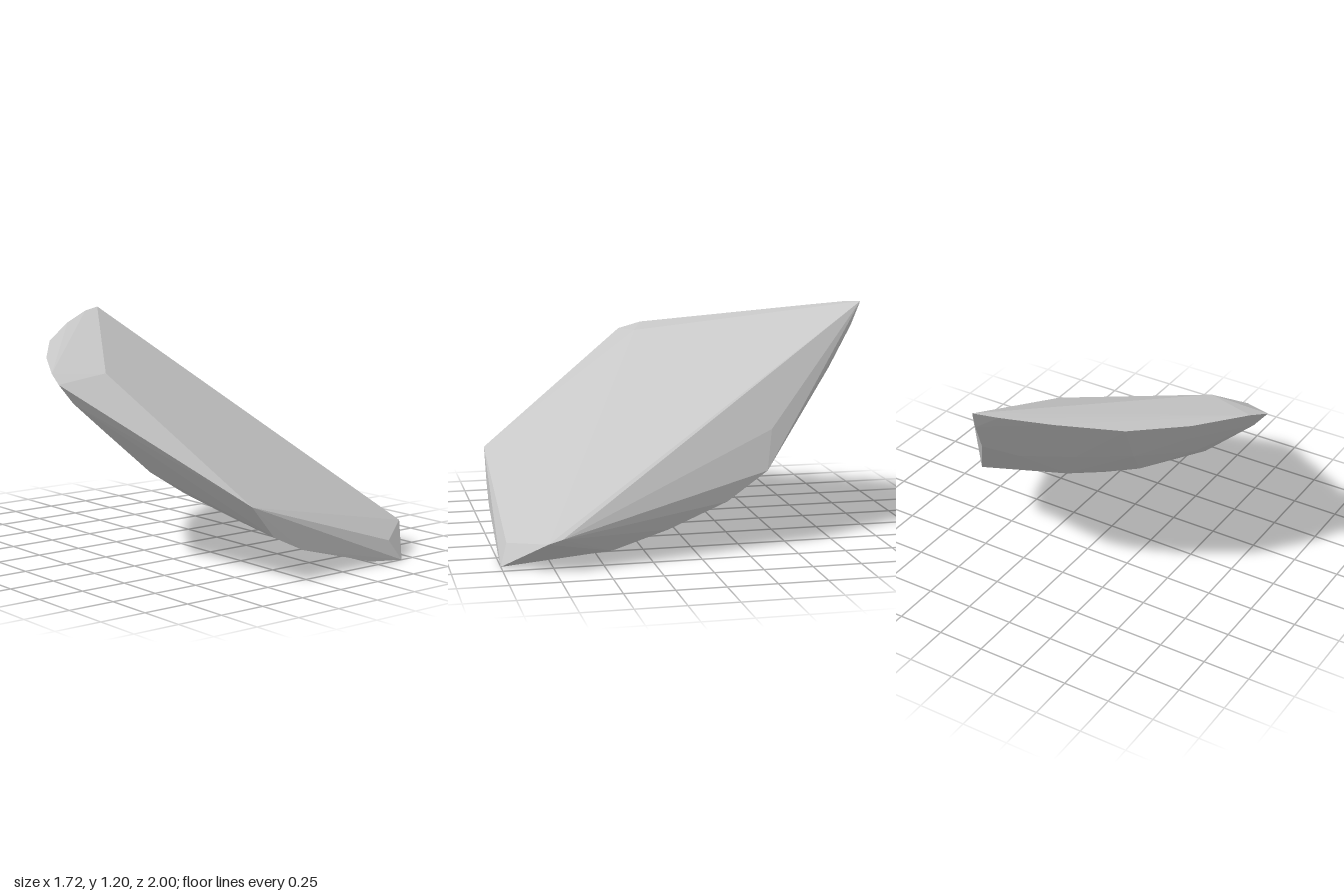
import * as THREE from 'three';
import { ConvexGeometry } from 'three/addons/geometries/ConvexGeometry.js';

const V = (p) => new THREE.Vector3(...p);

// Corners of the flat fracture planes on the upper side
const fracture = [
  [0.17, 1.2, -1], [-0.55, 0.98, 0.08], [-0.32, 0.4, 0.96],
  [0.86, 0.15, 0.79], [0.86, 0.17, 0.72], [0.61, 0.105, 0.963], [0.67, 0, 1],
  [0.52, 0.6, -0.42],
];

// Rim where the fracture planes meet the rounded underside
const rim = [
  [-0.86, 0.95, 0.11], [-0.82, 0.99, -0.01], [-0.65, 1.03, -0.31],
  [-0.44, 1.08, -0.59], [-0.17, 1.145, -0.81], [0.05, 1.187, -0.95],
  [0.2, 1.08, -0.94], [0.27, 0.87, -0.8], [0.59, 0.4, -0.38],
  [0.63, 0.26, -0.16], [0.66, 0.14, 0.15], [0.67, 0.05, 0.44],
  [0.46, 0.02, 0.99], [0, 0.145, 0.975], [-0.18, 0.23, 0.965],
  [-0.72, 0.79, 0.16], [-0.78, 0.85, 0.12],
];

// Faceted underside: x, z positions dropped onto a large sphere
const centre = [0.68, 2.02, 0.737], radius = 1.945;
const underside = [
  [0.12, 0.72], [0.4, 0.68], [0.42, 0.3], [0.12, 0.38], [-0.13, 0.6],
  [0.36, -0.05], [0.08, 0.05], [-0.2, 0.28], [-0.42, 0.28], [0.36, -0.4],
  [0.08, -0.32], [-0.22, -0.08], [-0.5, 0.0], [0.14, -0.66], [-0.12, -0.55],
  [-0.34, -0.34], [-0.58, -0.2],
].map(([x, z]) => [
  x, centre[1] - Math.sqrt(radius ** 2 - (x - centre[0]) ** 2 - (z - centre[2]) ** 2), z,
]);

export function createModel() {
  const group = new THREE.Group();
  group.name = 'rockFragment';
  const stone = new THREE.MeshStandardMaterial({ color: 0xc7c7c7 });
  stone.name = 'pale stone grey';

  // Solid stone shard, the convex hull of its corners
  const shard = new THREE.Mesh(
    new ConvexGeometry([...fracture, ...rim, ...underside].map(V)), stone);
  shard.name = 'stoneShard';
  group.add(shard);
  return group;
}
